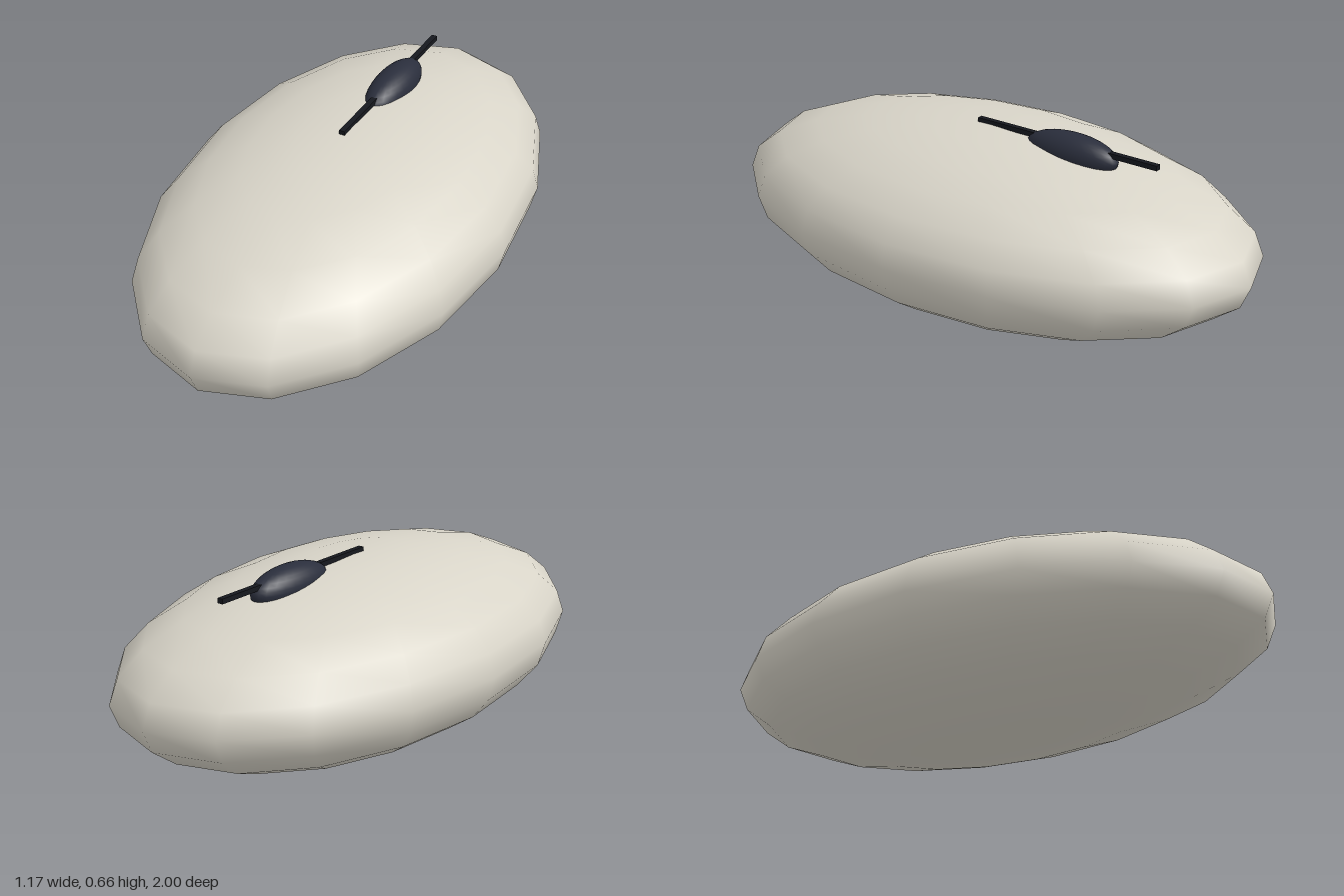
import * as THREE from 'three';

function part(group, name, geometry, color, position) {
  const mesh = new THREE.Mesh(geometry, new THREE.MeshStandardMaterial({ color }));
  mesh.name = name;
  mesh.position.set(...position);
  group.add(mesh);
}

// Sphere stretched into an ellipsoid with the given radii
function ellipsoid(rx, ry, rz, around, rings) {
  return new THREE.SphereGeometry(1, around, rings).scale(rx, ry, rz);
}

export function createModel() {
  const group = new THREE.Group();
  group.name = 'mouse';

  // Smooth-shaded shell with a coarse outline
  part(group, 'body', ellipsoid(0.583, 0.31, 1, 16, 12), 0xd8d4c8, [0, 0.314, 0]);

  // Scroll wheel, half sunk into the shell
  part(group, 'scrollWheel', ellipsoid(0.068, 0.067, 0.175, 24, 16), 0x2a2e3c, [0, 0.6, -0.325]);

  // Thin seam strip between the buttons
  part(group, 'buttonSeam', new THREE.BoxGeometry(0.02, 0.017, 0.7), 0x16181e, [0, 0.628, -0.3]);

  return group;
}
